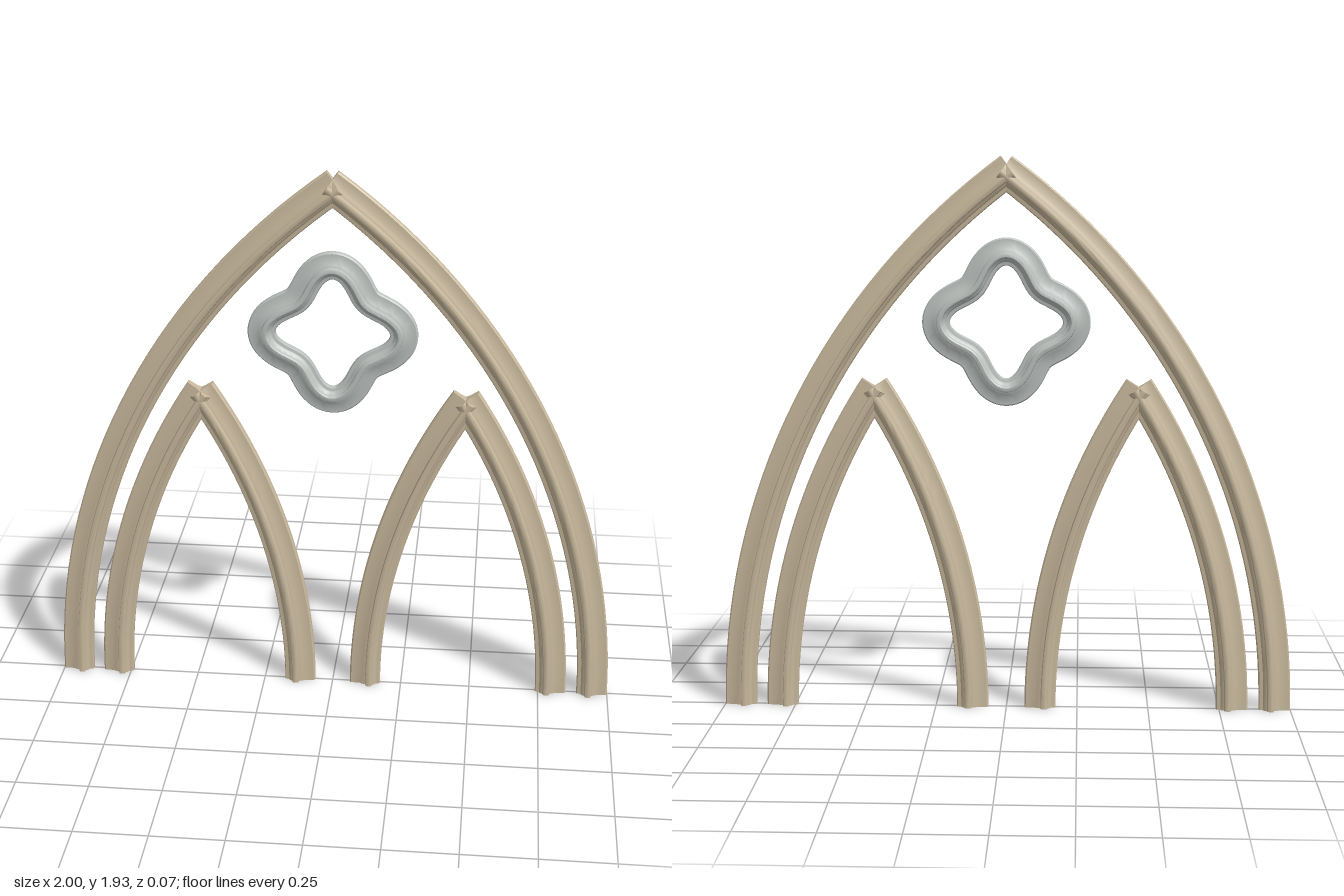
import * as THREE from 'three';
import { toCreasedNormals } from 'three/addons/utils/BufferGeometryUtils.js';

// Moulding section: [distance in from the outer edge, half depth]
const half = [
  [0, 0.008], [0.005, 0.013], [0.036, 0.014], [0.046, 0.02], [0.057, 0.023], [0.06, 0.035],
  [0.065, 0.037], [0.075, 0.037], [0.08, 0.034], [0.083, 0.025], [0.091, 0.021], [0.095, 0.014],
  [0.107, 0.012], [0.11, 0.008],
];
const section = [...half, ...half.map(([d, z]) => [d, -z]).reverse()];

// Sweeps the section along clockwise stations { x, y, nx, ny } lying on the outer edge
function sweep(stations, closed, widthScale = 1) {
  const m = section.length, n = stations.length;
  const positions = [], index = [];
  for (const s of stations) {
    for (const [d, z] of section) {
      positions.push(s.x - s.nx * d * widthScale, s.y - s.ny * d * widthScale, z);
    }
  }
  for (let i = 0; i < (closed ? n : n - 1); i++) {
    for (let j = 0; j < m; j++) {
      const k = (j + 1) % m, next = ((i + 1) % n) * m;
      const a = i * m + j, b = i * m + k, c = next + k, d = next + j;
      index.push(a, b, c, a, c, d);
    }
  }
  if (!closed) {
    const outline = section.map(([d, z]) => new THREE.Vector2(-d, z));
    const last = (n - 1) * m;
    for (const [a, b, c] of THREE.ShapeUtils.triangulateShape(outline, [])) {
      index.push(c, b, a, last + a, last + b, last + c);
    }
  }
  const geometry = new THREE.BufferGeometry();
  geometry.setAttribute('position', new THREE.Float32BufferAttribute(positions, 3));
  geometry.setIndex(index);
  return toCreasedNormals(geometry, 0.6);
}

// One circular arm of a pointed arch, swept from angle "from" to angle "to"
function arm(cx, radius, from, to) {
  const stations = [];
  for (let i = 0; i <= 32; i++) {
    const t = from + (to - from) * i / 32;
    const nx = Math.cos(t), ny = Math.sin(t);
    stations.push({ x: cx + radius * nx, y: radius * ny, nx, ny });
  }
  return sweep(stations, false);
}

// Pointed arch: two arms crossing at the apex
function pointedArch(name, centre, halfWidth, radius, height, material) {
  const arch = new THREE.Group();
  arch.name = name;
  const angle = Math.asin(height / radius);
  const offset = radius - halfWidth;
  const right = new THREE.Mesh(arm(centre + offset, radius, Math.PI, Math.PI - angle), material);
  right.name = 'rightArm';
  const left = new THREE.Mesh(arm(centre - offset, radius, angle, 0), material);
  left.name = 'leftArm';
  arch.add(right, left);
  return arch;
}

// Four-lobed ring with the same moulding
function quatrefoil(cy, material) {
  const stations = [], scale = 0.86, inset = 0.055 * scale, count = 128;
  for (let i = 0; i < count; i++) {
    const t = -i / count * Math.PI * 2;
    const r = 0.206 + 0.036 * Math.cos(4 * t), dr = -0.144 * Math.sin(4 * t);
    const c = Math.cos(t), s = Math.sin(t);
    // Curve normal
    const len = Math.hypot(r, dr);
    const nx = (r * c + dr * s) / len, ny = (r * s - dr * c) / len;
    stations.push({ x: r * c + nx * inset, y: cy + r * s + ny * inset, nx, ny });
  }
  const mesh = new THREE.Mesh(sweep(stations, true, scale), material);
  mesh.name = 'quatrefoil';
  return mesh;
}

export function createModel() {
  const sandstone = new THREE.MeshStandardMaterial({ color: 0xc9b99d });
  sandstone.name = 'sandstone';
  const greyStone = new THREE.MeshStandardMaterial({ color: 0xbcc1be });
  greyStone.name = 'greyStone';

  const model = new THREE.Group();
  model.name = 'traceryWindow';
  model.add(pointedArch('mainArch', 0, 1, 2.39, 1.93, sandstone));
  for (const [side, sign] of [['left', 1], ['right', -1]]) {
    model.add(pointedArch(side + 'LancetArch', sign * 0.457, 0.393, 2.13, 1.17, sandstone));
  }
  model.add(quatrefoil(1.365, greyStone));
  return model;
}
